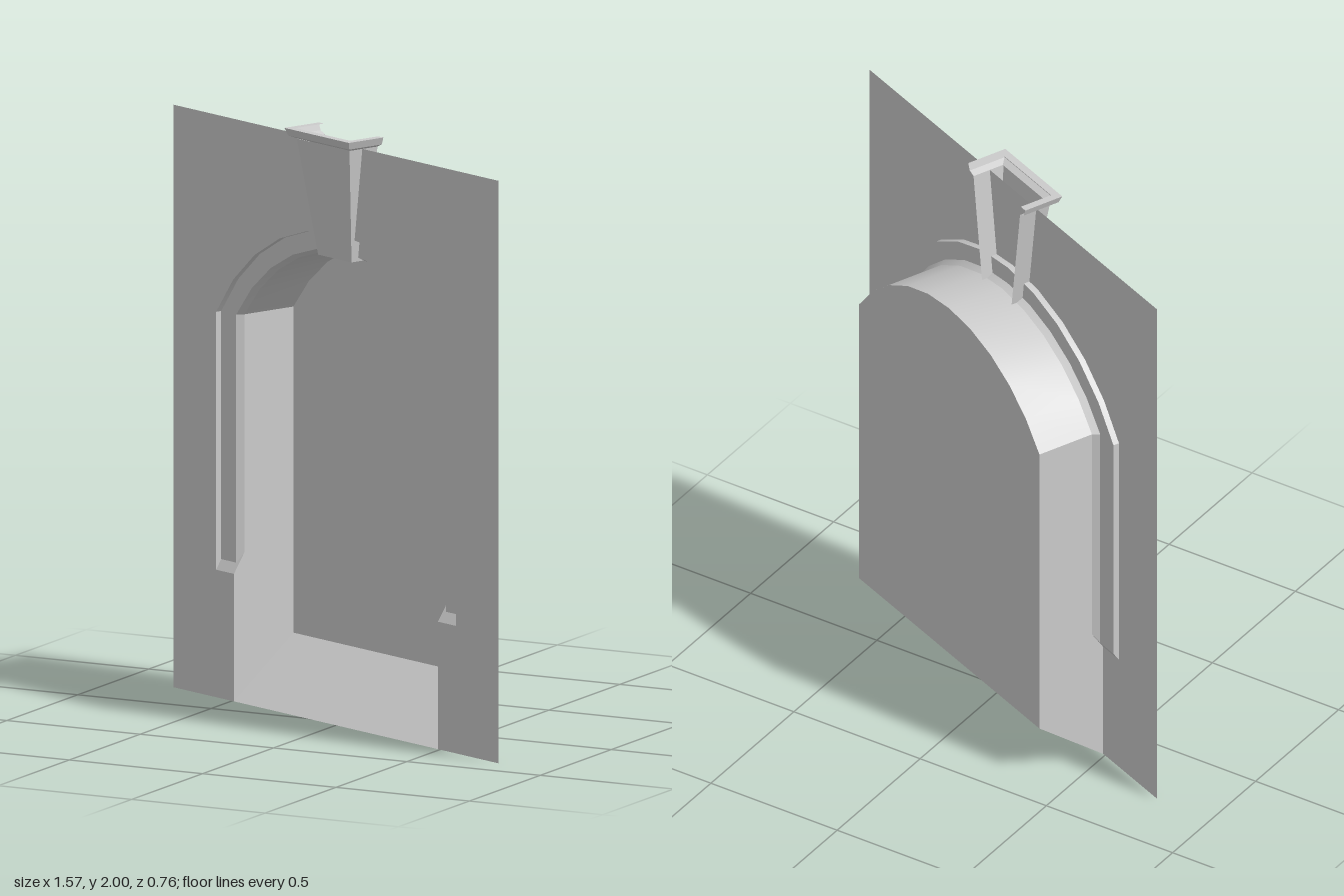
import * as THREE from 'three';
import { toCreasedNormals } from 'three/addons/utils/BufferGeometryUtils.js';

const material = new THREE.MeshStandardMaterial({ color: 0xcccccc, side: THREE.DoubleSide });

const DEPTH = 0.255;      // niche depth
const SPRING = 1.3;       // height where the arch starts
const SEGMENTS = 10;
const OPENING = { half: 0.531, top: 1.585 };
const INNER = { half: 0.546, top: 1.597 };
const OUTER = { half: 0.624, top: 1.66 };
const stopHeight = (z) => 0.43 - 1.5 * z;   // sloped foot of the recessed band

// Jamb, segmental arch, jamb: points from right foot to left foot
function archPoints({ half, top }, foot) {
  const rise = top - SPRING;
  const radius = (half * half + rise * rise) / (2 * rise);
  const spread = Math.asin(half / radius);
  const points = [new THREE.Vector2(half, foot)];
  for (let i = 0; i <= SEGMENTS; i++) {
    const a = spread * (1 - (2 * i) / SEGMENTS);
    points.push(new THREE.Vector2(radius * Math.sin(a), top - radius + radius * Math.cos(a)));
  }
  points.push(new THREE.Vector2(-half, foot));
  return points;
}

const archRing = (arch, z, foot) => archPoints(arch, foot).map((p) => [p.x, p.y, z]);

// Skin between successive cross-sections of equal length
function loft(rings) {
  const n = rings[0].length;
  const index = [];
  for (let r = 0; r < rings.length - 1; r++) {
    for (let i = 0; i < n - 1; i++) {
      const a = r * n + i;
      index.push(a, a + 1, a + n, a + 1, a + n + 1, a + n);
    }
  }
  const geometry = new THREE.BufferGeometry();
  geometry.setAttribute('position', new THREE.Float32BufferAttribute(rings.flat(2), 3));
  geometry.setIndex(index);
  return toCreasedNormals(geometry, Math.PI / 6);
}

// Flat convex polygon
function polygon(points) {
  const geometry = new THREE.BufferGeometry();
  geometry.setAttribute('position', new THREE.Float32BufferAttribute(points.flat(), 3));
  const index = [];
  for (let i = 1; i < points.length - 1; i++) index.push(0, i, i + 1);
  geometry.setIndex(index);
  geometry.computeVertexNormals();
  return geometry;
}

// Three-sided section, open at the back
const uSection = (half, front, back, y) => [
  [-half, y, back], [-half, y, front], [half, y, front], [half, y, back],
];

export function createModel() {
  const group = new THREE.Group();
  const add = (name, geometry) => {
    const mesh = new THREE.Mesh(geometry, material);
    mesh.name = name;
    group.add(mesh);
  };

  // Thin wall with the stepped arched opening
  const w = 0.847, h = 1.965, o = OPENING.half;
  const outline = [[-o, 0], [-w, 0], [-w, h], [w, h], [w, 0], [o, 0], [o, stopHeight(0)]]
    .map(([x, y]) => new THREE.Vector2(x, y));
  outline.push(...archPoints(OUTER, stopHeight(0)), new THREE.Vector2(-o, stopHeight(0)));
  add('wall', new THREE.ShapeGeometry(new THREE.Shape(outline)));

  // Recessed band around the arch, its bevel, and the niche lining
  const step = -0.022, bevel = -0.045, floorBack = 0.2;
  add('recessedBand', loft([
    archRing(OUTER, 0, stopHeight(0)),
    archRing(OUTER, step, stopHeight(step)),
    archRing(INNER, step, stopHeight(step)),
    archRing(OPENING, bevel, stopHeight(bevel)),
  ]));
  add('nicheLining', loft([
    archRing(OPENING, bevel, stopHeight(bevel)),
    archRing(OPENING, -DEPTH, floorBack),
  ]));

  // Lower jambs and sloped feet of the band
  for (const [side, s] of [['left', 1], ['right', -1]]) {
    add(side + 'LowerJamb', polygon([
      [s * o, 0, 0], [s * o, stopHeight(0), 0],
      [s * o, stopHeight(bevel), bevel], [s * o, floorBack, -DEPTH],
    ]));
    add(side + 'BandFoot', polygon(
      [[o, 0], [OUTER.half, 0], [OUTER.half, step], [INNER.half, step], [o, bevel]]
        .map(([x, z]) => [s * x, stopHeight(z), z])));
  }

  // Niche back and sloping sill
  add('nicheBack', new THREE.ShapeGeometry(new THREE.Shape(archPoints(OPENING, floorBack)))
    .translate(0, 0, -DEPTH));
  add('nicheSill', polygon([[-o, 0, 0], [o, 0, 0], [o, floorBack, -DEPTH], [-o, floorBack, -DEPTH]]));

  // Tapered keystone with soffit
  const back = -0.065;
  add('keystone', loft([uSection(0.087, 0.005, back, 1.575), uSection(0.137, 0.055, back, h)]));
  add('keystoneSoffit', polygon([
    [-0.087, 1.575, 0.005], [0.087, 1.575, 0.005], [0.087, 1.575, -0.025], [-0.087, 1.575, -0.025],
  ]));

  // Moulded cap on the keystone
  const cap = [[0, h], [0.022, 1.975], [0.031, 2], [0.004, 2]];
  add('keystoneCap', loft(cap.map(([out, y]) => uSection(0.137 + out, 0.052 + out, back, y))));

  // The whole wall stands at an angle
  group.rotation.y = -Math.PI / 8;
  group.position.z = 0.06;
  const model = new THREE.Group();
  model.name = 'archedNiche';
  group.name = 'angledWall';
  model.add(group);
  return model;
}
